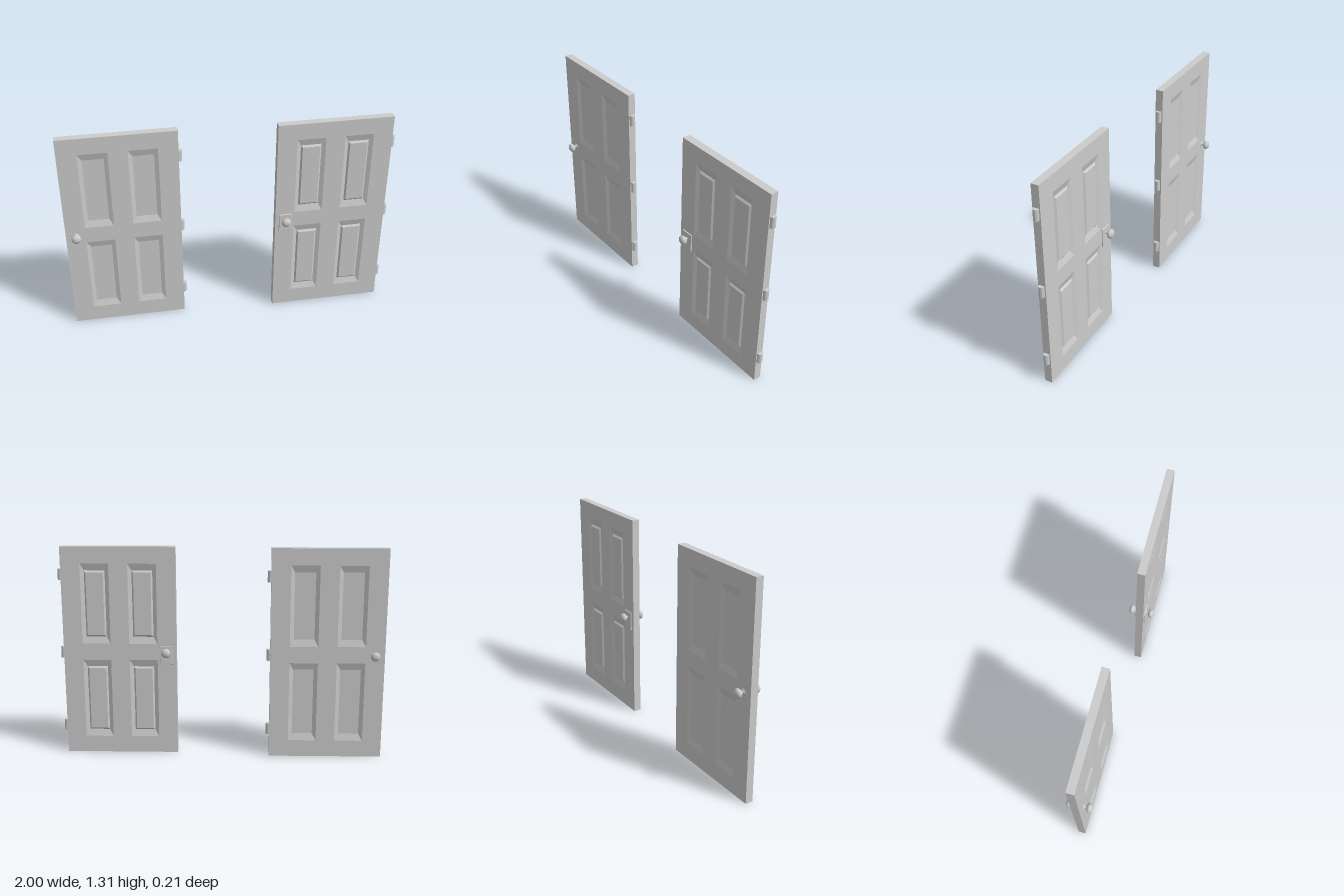
import * as THREE from 'three';

const W = 0.7, H = 1.313, T = 0.0235; // door width, height, half thickness
const KNOB_Y = 0.66, KNOB_X = -0.287;
const DEPTH = 0.012;

const material = new THREE.MeshStandardMaterial({ color: 0xcccccc });

function add(parent, name, geometry, x = 0, y = 0, z = 0) {
  const mesh = new THREE.Mesh(geometry, material);
  mesh.name = name;
  mesh.position.set(x, y, z);
  parent.add(mesh);
  return mesh;
}

// Flat-shaded skin through a list of rectangles [x0, y0, x1, y1, z], capped on the last
function loft(rects, cap = true) {
  const loops = rects.map(([x0, y0, x1, y1, z]) => [[x0, y0, z], [x1, y0, z], [x1, y1, z], [x0, y1, z]]);
  const p = [];
  const quad = (a, b, c, d) => p.push(...a, ...b, ...c, ...a, ...c, ...d);
  for (let k = 0; k + 1 < loops.length; k++) {
    const A = loops[k], B = loops[k + 1];
    for (let i = 0; i < 4; i++) {
      const j = (i + 1) % 4;
      quad(A[i], A[j], B[j], B[i]);
    }
  }
  if (cap) quad(...loops[loops.length - 1]);
  const g = new THREE.BufferGeometry();
  g.setAttribute('position', new THREE.Float32BufferAttribute(p, 3));
  g.computeVertexNormals();
  return g;
}

const inset = ([x0, y0, x1, y1], dx, dy, z) => [x0 + dx, y0 + dy, x1 - dx, y1 - dy, z];

// Four panel openings: two columns by two rows
const openings = [];
for (const [x0, x1] of [[-0.232, -0.058], [0.058, 0.232]])
  for (const [y0, y1] of [[0.105, 0.607], [0.711, 1.21]]) openings.push([x0, y0, x1, y1]);

function frameFace() {
  const path = (shape, [x0, y0, x1, y1]) =>
    shape.moveTo(x0, y0).lineTo(x1, y0).lineTo(x1, y1).lineTo(x0, y1).closePath();
  const shape = new THREE.Shape();
  path(shape, [-W / 2, 0, W / 2, H]);
  for (const o of openings) {
    const hole = new THREE.Path();
    path(hole, o);
    shape.holes.push(hole);
  }
  return new THREE.ShapeGeometry(shape);
}

// Flared rose, thin neck and flattened ball, turned around the z axis
function knobGeometry() {
  const pts = [[0.018, 0], [0.017, 0.003], [0.01, 0.006], [0.008, 0.011], [0.009, 0.018]]
    .map(([r, h]) => new THREE.Vector2(r, h));
  for (let i = 0; i <= 12; i++) {
    const a = -1.25 + (i / 12) * (1.25 + Math.PI / 2);
    pts.push(new THREE.Vector2(Math.max(0, 0.029 * Math.cos(a)), 0.0365 + 0.0195 * Math.sin(a)));
  }
  return new THREE.LatheGeometry(pts, 24).rotateX(Math.PI / 2);
}

function createDoor(name, ornate) {
  const door = new THREE.Group();
  door.name = name;

  // Outer edges of the slab
  const outline = [-W / 2, 0, W / 2, H];
  add(door, 'doorEdges', loft([inset(outline, 0, 0, -T), inset(outline, 0, 0, T)], false));

  // Identical faces on both sides
  for (const side of [1, -1]) {
    const face = new THREE.Group();
    face.name = side > 0 ? 'frontFace' : 'backFace';
    if (side < 0) face.rotation.y = Math.PI;
    door.add(face);

    add(face, 'doorFrame', frameFace(), 0, 0, T);
    for (const o of openings) {
      // Bevelled recess, with a raised field on the ornate door
      const rects = [inset(o, 0, 0, T), inset(o, 0.024, 0.043, T - DEPTH)];
      if (ornate) rects.push(inset(o, 0.034, 0.055, T - DEPTH + 0.009));
      add(face, 'panel', loft(rects));
    }

    let base = T;
    if (ornate) {
      // Lock plate behind the knob
      const plate = [KNOB_X - 0.04, 0.58, KNOB_X + 0.04, 0.7];
      add(face, 'lockPlate', loft([
        inset(plate, 0, 0, 0), inset(plate, 0, 0, 0.005), inset(plate, 0.002, 0.002, 0.007),
      ]), side > 0 ? 0 : -2 * KNOB_X, 0, T);
      base += 0.002;
    }
    add(face, 'knob', knobGeometry(), KNOB_X * side, KNOB_Y, base - (ornate ? 0.002 : 0));
  }

  // Three hinge barrels set into the edge
  for (const y of [0.176, 0.654, 1.141])
    add(door, 'hinge', new THREE.CylinderGeometry(0.0175, 0.0175, 0.07, 16), W / 2 + 0.004, y, 0);
  return door;
}

export function createModel() {
  const model = new THREE.Group();
  model.name = 'panelDoors';

  const plain = createDoor('plainDoor', false);
  plain.position.set(-0.65, 0, -T);
  const ornate = createDoor('raisedPanelDoor', true);
  ornate.position.set(0.6285, 0, T);
  model.add(plain, ornate);
  return model;
}
